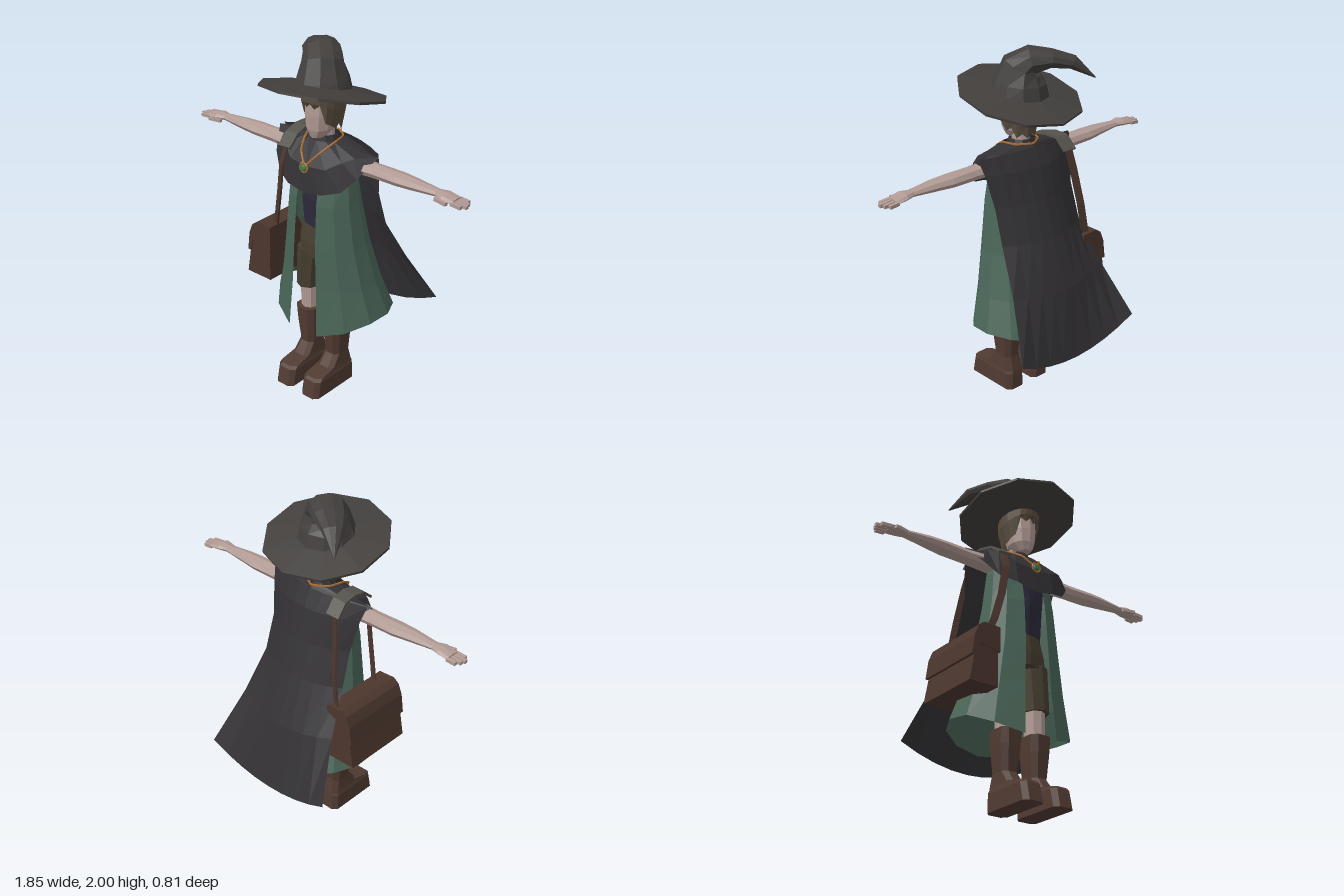
import * as THREE from 'three';

const V = (x, y, z) => new THREE.Vector3(x, y, z);
const mat = (color, open) => new THREE.MeshStandardMaterial({
  color, flatShading: true, side: open ? THREE.DoubleSide : THREE.FrontSide });

// Skin a list of equal-length point rows; closed rows wrap around and can be capped.
function loft(rows, closed = true, caps = true) {
  const n = rows[0].length, idx = [], pos = rows.flat().flatMap(p => [p.x, p.y, p.z]);
  for (let i = 0; i < rows.length - 1; i++)
    for (let j = 0; j < (closed ? n : n - 1); j++) {
      const a = i * n + j, b = i * n + (j + 1) % n;
      idx.push(a, b, b + n, a, b + n, a + n);
    }
  if (closed && caps) {
    const t = (rows.length - 1) * n;
    for (let j = 1; j < n - 1; j++) idx.push(0, j + 1, j, t, t + j, t + j + 1);
  }
  const g = new THREE.BufferGeometry();
  g.setAttribute('position', new THREE.Float32BufferAttribute(pos, 3));
  g.setIndex(idx);
  const flat = g.toNonIndexed();
  flat.computeVertexNormals();
  return flat;
}

// Horizontal ring starting at the front; yFn can vary the height by angle.
const ring = (cx, y, cz, rx, rz, n = 8, yFn = () => 0) => Array.from({ length: n }, (_, i) => {
  const a = (i / n) * Math.PI * 2;
  return V(cx + rx * Math.sin(a), y + yFn(a), cz + rz * Math.cos(a));
});
const rings = (list, n) => list.map(r => ring(...r, n));
// Horizontal rectangle with cut corners, for the boots.
const cutBox = (cx, y, w, front, back, cut) => [[w, back + cut], [w, front - cut], [w - cut, front], [cut - w, front],
  [-w, front - cut], [-w, back + cut], [cut - w, back], [w - cut, back]].reverse().map(([x, z]) => V(cx + x, y, z));
// Ring around the x axis, for the arms.
const armRing = ([x, y, z, ry, rz], n = 8) => Array.from({ length: n }, (_, i) => {
  const a = (i / n) * Math.PI * 2;
  return V(x, y + ry * Math.cos(a), z + rz * Math.sin(a));
});
// Mirror rows to the other side while keeping the faces outward.
const sided = (rows, s) => s > 0 ? rows
  : rows.map(r => r.map(p => V(-p.x, p.y, p.z))).reverse();

// Flat band with a little thickness along a path.
function band(path, w, t) {
  return loft(path.map((p, i) => {
    const d = path[Math.min(i + 1, path.length - 1)].clone().sub(path[Math.max(i - 1, 0)]);
    const nrm = d.cross(w).normalize().multiplyScalar(t);
    return [[1, 1], [-1, 1], [-1, -1], [1, -1]].map(([a, b]) =>
      p.clone().addScaledVector(w, a).addScaledVector(nrm, b));
  }));
}
function extrude(points, depth) {
  const s = new THREE.Shape(points.map(p => new THREE.Vector2(...p)));
  return new THREE.ExtrudeGeometry(s, { depth, bevelEnabled: false });
}

export function createModel() {
  const root = new THREE.Group();
  const C = { hat: 0x423f3d, cape: 0x333134, robe: 0x4a6558, skin: 0xb29b95, hair: 0x5a4e40,
    boot: 0x513b32, bag: 0x4c362e, shorts: 0x473e30, shirt: 0x2d2b3c, gold: 0xa8692f,
    pad: 0x56544d, gem: 0x3f7a4c };
  const add = (name, geo, color, open = false, parent = root) => {
    const m = new THREE.Mesh(geo, mat(color, open));
    m.name = name;
    parent.add(m);
    return m;
  };

  // Hat: tilted ten-sided brim and a crown that bends into a drooping tip
  const brim = add('hatBrim', loft([ring(0, 0.005, 0, 0.13, 0.13, 10), ring(0, -0.005, 0, 0.347, 0.339, 10),
    ring(0, 0.008, 0, 0.347, 0.339, 10), ring(0, 0.035, 0, 0.165, 0.16, 10)]), C.hat);
  brim.position.set(-0.007, 1.735, 0.077);
  brim.rotation.set(-0.255, 0, 0.05);
  // Each crown section: centre, radius, sideways flare
  const crown = [[-0.01, 1.748, 0.073, 0.163, 1], [-0.008, 1.81, 0.075, 0.142, 1], [-0.018, 1.89, 0.065, 0.112, 1],
    [-0.05, 1.927, 0.03, 0.076, 1.35], [-0.13, 1.93, -0.035, 0.05, 1.85], [-0.215, 1.908, -0.105, 0.037, 1.6],
    [-0.3, 1.825, -0.19, 0.003, 1]];
  const across = V(Math.SQRT1_2, 0, -Math.SQRT1_2);
  add('hatCrown', loft(crown.map(([x, y, z, r, flare], i) => {
    const a = crown[Math.max(i - 1, 0)], b = crown[Math.min(i + 1, crown.length - 1)];
    const t = i ? V(b[0] - a[0], b[1] - a[1], b[2] - a[2]) : V(-0.05, 1, -0.255);
    const q = new THREE.Quaternion().setFromUnitVectors(V(0, 1, 0), t.normalize());
    return ring(0, 0, 0, r, r, 10).map(p => p.addScaledVector(across, p.dot(across) * (flare - 1))
      .applyQuaternion(q).add(V(x, y, z)));
  })), C.hat);

  // Head, neck and hair
  add('head', loft(rings([[0, 1.505, 0.12, 0.035, 0.05], [0, 1.55, 0.1, 0.07, 0.085],
    [0, 1.63, 0.09, 0.085, 0.1], [0, 1.73, 0.085, 0.085, 0.1]], 10)), C.skin);
  add('neck', loft(rings([[0, 1.42, 0.06, 0.05, 0.05], [0, 1.6, 0.07, 0.045, 0.05]], 8)), C.skin);
  const hairEdge = (a) => {
    const c = Math.cos(a), spike = 0.012 * Math.cos(a * 10);
    return (c > 0.75 ? 0.12 : c > 0.4 ? 0.04 : c > -0.4 ? 0 : -0.03) + spike;
  };
  add('hair', loft([ring(0, 1.565, 0.082, 0.085, 0.105, 20, hairEdge),
    ring(0, 1.66, 0.078, 0.11, 0.128, 20, a => Math.max(0, Math.cos(a)) * 0.05),
    ring(0, 1.72, 0.08, 0.112, 0.128, 20, a => Math.cos(a) * 0.025)], true, false), C.hair, true);

  // Shirt and collar
  add('shirt', loft(rings([[0, 0.94, 0.075, 0.13, 0.09], [0, 1.15, 0.08, 0.14, 0.1],
    [0, 1.35, 0.07, 0.17, 0.09], [0, 1.46, 0.06, 0.1, 0.06]], 10)), C.shirt);
  add('collar', loft(rings([[0, 1.45, 0.055, 0.09, 0.085], [0, 1.51, 0.06, 0.065, 0.065]], 10), true, false), C.cape, true);

  // Shorts hips
  add('shortsHips', loft(rings([[0, 0.8, 0.08, 0.158, 0.105], [0, 0.88, 0.08, 0.155, 0.105],
    [0, 0.98, 0.075, 0.135, 0.095]], 10)), C.shorts);

  for (const s of [1, -1]) {
    const side = s > 0 ? 'left' : 'right';
    // Legs and boots
    add(side + 'ShortsLeg', loft(rings([[s * 0.1, 0.57, 0.085, 0.073, 0.085],
      [s * 0.08, 0.82, 0.08, 0.08, 0.1]], 8)), C.shorts);
    add(side + 'Leg', loft(rings([[s * 0.095, 0.38, 0.085, 0.05, 0.06],
      [s * 0.095, 0.6, 0.085, 0.056, 0.065]], 8)), C.skin);
    // Boot sections: height, half width, front, back, corner cut
    add(side + 'Boot', loft([[0, 0.0625, 0.335, -0.005, 0.025], [0.1, 0.0625, 0.314, -0.002, 0.025],
      [0.115, 0.058, 0.3, 0, 0.028], [0.135, 0.055, 0.195, 0.004, 0.025], [0.2, 0.05, 0.145, 0.018, 0.025],
      [0.34, 0.063, 0.16, 0.008, 0.03], [0.43, 0.066, 0.167, 0.004, 0.03]]
      .map(r => cutBox(s * 0.095, ...r))), C.boot);

    // Arms and hands
    const arm = [[0.18, 1.387, 0.07, 0.045, 0.06], [0.35, 1.388, 0.067, 0.038, 0.05], [0.5, 1.39, 0.067, 0.035, 0.055],
      [0.6, 1.392, 0.07, 0.03, 0.046], [0.74, 1.392, 0.07, 0.018, 0.03], [0.79, 1.392, 0.072, 0.02, 0.05],
      [0.855, 1.383, 0.07, 0.014, 0.048]];
    add(side + 'Arm', loft(sided(arm.map(r => armRing(r)), s)), C.skin);
    [0.033, 0.058, 0.083, 0.107].forEach((z, i) => {
      const len = [0.055, 0.072, 0.08, 0.06][i];
      const f = add(side + 'Finger', new THREE.BoxGeometry(len, 0.018, 0.02), C.skin);
      f.position.set(s * (0.845 + len / 2), 1.378, z);
      f.rotation.z = -s * 0.08;
    });
    const thumb = add(side + 'Thumb', new THREE.BoxGeometry(0.08, 0.018, 0.02), C.skin);
    thumb.position.set(s * 0.79, 1.378, 0.118);
    thumb.rotation.y = -s * 0.2;
  }

  // Long open-fronted robe
  const robe = [[1.46, 0.16, 0.13, -0.02, 0.06], [1.32, 0.205, 0.195, -0.05, 0.065], [1.15, 0.222, 0.23, -0.085, 0.07],
    [0.9, 0.255, 0.248, -0.14, 0.075], [0.66, 0.305, 0.255, -0.21, 0.085], [0.48, 0.36, 0.275, -0.29, 0.1]];
  add('robe', loft(robe.map(([y, rx, zf, zb, gap], i) => Array.from({ length: 13 }, (_, j) => {
    const a0 = Math.asin(gap / rx), a = a0 + (2 * Math.PI - 2 * a0) * j / 12, c = Math.cos(a);
    const hem = i === 5 ? 0.12 * Math.max(c, 0) ** 2 + 0.06 * Math.max(-c, 0) ** 3 : 0;
    return V(rx * Math.sin(a), y - hem, (zf + zb) / 2 + (zf - zb) / 2 * c);
  })).reverse(), false), C.robe, true);

  // Shoulder mantle: columns from front centre to back centre, mirrored
  const half = [
    [V(0, 1.48, 0.14), V(0, 1.36, 0.22), V(0, 1.21, 0.235)],
    [V(0.06, 1.485, 0.13), V(0.12, 1.37, 0.21), V(0.12, 1.235, 0.235)],
    [V(0.09, 1.485, 0.1), V(0.2, 1.42, 0.165), V(0.215, 1.265, 0.195)],
    [V(0.1, 1.49, 0.07), V(0.25, 1.445, 0.125), V(0.285, 1.345, 0.145)],
    [V(0.1, 1.49, 0.04), V(0.24, 1.46, 0.06), V(0.345, 1.455, 0.05)],
    [V(0.08, 1.49, 0), V(0.2, 1.465, 0.01), V(0.31, 1.425, 0.02)],
    [V(0, 1.49, -0.03), V(0, 1.465, -0.045), V(0, 1.39, -0.075)]];
  const other = half.slice(1, -1).reverse().map(c => c.map(p => V(-p.x, p.y, p.z)));
  add('mantle', loft([...half, ...other, half[0]], false), C.cape, true);

  // Cape sweeping out behind: y, edge lift, half width, centre z, edge z
  const cape = [[1.48, -0.018, 0.33, -0.045, 0.03], [1.38, 0, 0.31, -0.09, 0], [1.2, 0, 0.28, -0.135, -0.04],
    [1, 0, 0.285, -0.195, -0.1], [0.72, 0.04, 0.33, -0.295, -0.23], [0.34, 0.11, 0.425, -0.39, -0.405]];
  add('cape', loft(cape.map(([y, lift, w, zc, ze]) => Array.from({ length: 9 }, (_, j) => {
    const u = j / 4 - 1;
    return V(w * u, y + lift * u * u, zc + (ze - zc) * u * u);
  })), false), C.cape, true);

  // Shoulder bag with overhanging flap, two straps and a shoulder pad
  add('bagBody', extrude([[-0.26, 0.585], [-0.26, 0.9], [-0.36, 0.9], [-0.405, 0.75], [-0.435, 0.585]], 0.42)
    .translate(0, 0, -0.175), C.bag);
  add('bagFlap', extrude([[-0.25, 0.78], [-0.25, 0.92], [-0.35, 0.925], [-0.385, 0.9], [-0.41, 0.84],
    [-0.425, 0.73], [-0.405, 0.73], [-0.385, 0.8]], 0.43).translate(0, 0, -0.18), C.bag);
  const w = V(0.019, 0, 0.008);
  add('frontStrap', band([V(-0.18, 1.43, 0.17), V(-0.185, 1.32, 0.21), V(-0.21, 1.15, 0.205),
    V(-0.245, 1.0, 0.19), V(-0.275, 0.91, 0.17)], w, 0.005), C.bag, true);
  add('backStrap', band([V(-0.21, 1.43, -0.085), V(-0.235, 1.3, -0.105), V(-0.26, 1.1, -0.14),
    V(-0.29, 0.91, -0.15)], w, 0.005), C.bag, true);
  add('shoulderPad', band([V(-0.178, 1.41, 0.195), V(-0.185, 1.466, 0.125), V(-0.195, 1.486, 0.04),
    V(-0.205, 1.48, -0.04), V(-0.21, 1.415, -0.1)], V(0.042, 0.002, 0), 0.007), C.pad, true);

  // Necklace with a gem pendant
  const right = [V(0.06, 1.435, 0.19), V(0.1, 1.49, 0.1), V(0.08, 1.493, 0.015)];
  const loop = new THREE.CatmullRomCurve3([V(0, 1.37, 0.23), ...right, V(0, 1.493, -0.035),
    ...right.map(p => V(-p.x, p.y, p.z)).reverse()], true, 'catmullrom', 0.2);
  add('necklace', new THREE.TubeGeometry(loop, 40, 0.006, 5, true), C.gold);
  const pendant = new THREE.Group();
  pendant.name = 'pendant';
  pendant.position.set(0, 1.36, 0.238);
  add('pendantRing', new THREE.TorusGeometry(0.026, 0.006, 5, 10), C.gold, false, pendant);
  add('pendantGem', new THREE.SphereGeometry(0.024, 8, 5).scale(1, 1, 0.6), C.gem, false, pendant);
  root.add(pendant);

  return root;
}
